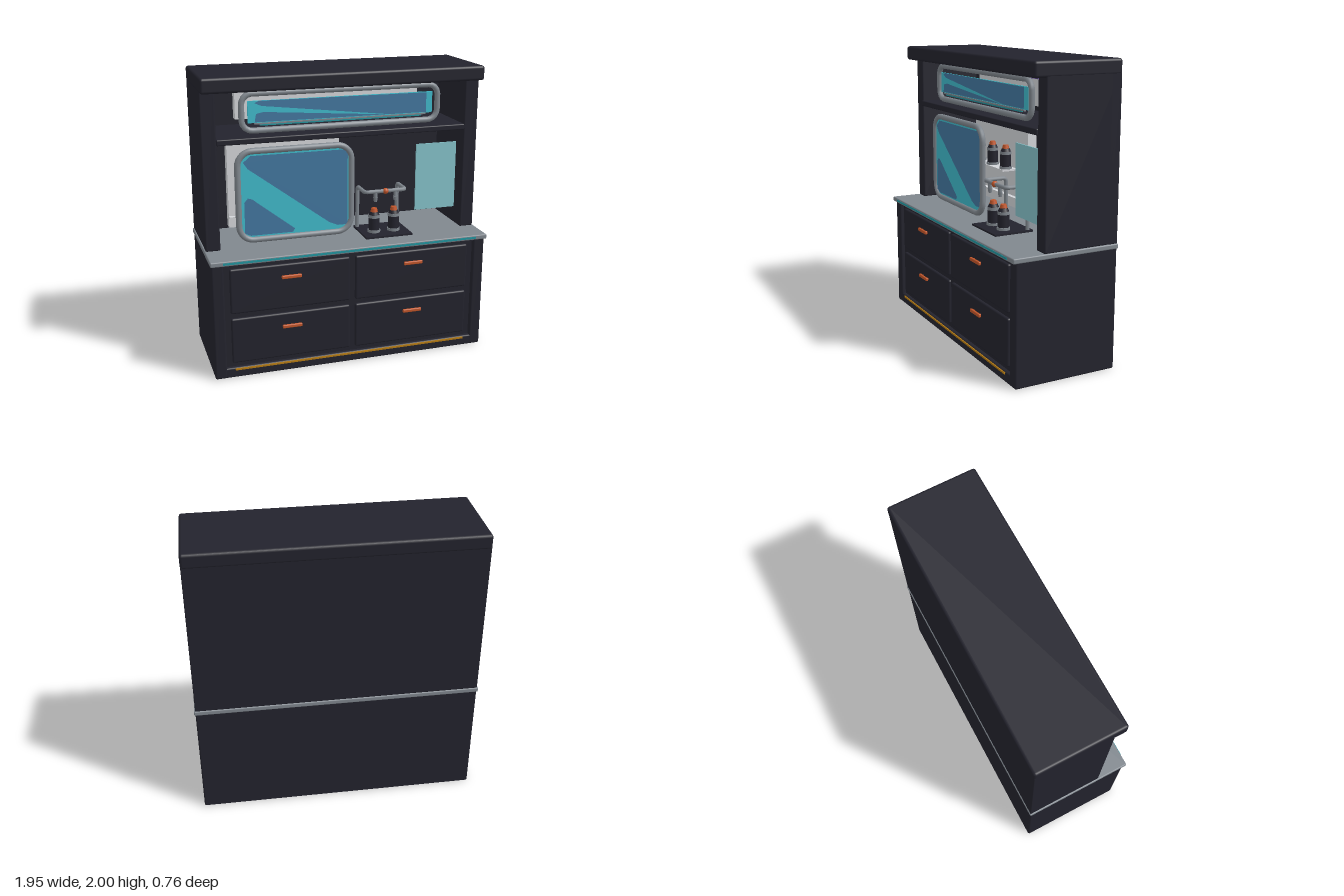
import * as THREE from 'three';
import { RoundedBoxGeometry } from 'three/addons/geometries/RoundedBoxGeometry.js';

const mat = (name, color, side = THREE.FrontSide) => {
  const m = new THREE.MeshStandardMaterial({ color, side });
  m.name = name;
  return m;
};

export function createModel() {
  const root = new THREE.Group();
  root.name = 'kitchenCabinet';
  const M = {
    body: mat('darkBody', 0x23232d),
    metal: mat('greyMetal', 0x80878e),
    white: mat('whitePanel', 0xd4d6da),
    teal: mat('tealGlass', 0x40bacb, THREE.DoubleSide),
    blue: mat('blueReflection', 0x4377a0, THREE.DoubleSide),
    pale: mat('paleTealPanel', 0x86c3ca),
    orange: mat('orangeTrim', 0xc2562a),
    amber: mat('amberStrip', 0xb47a14),
    purple: mat('purpleLight', 0x7a62b8),
    strip: mat('deepTealStrip', 0x22959f),
  };

  const add = (name, geo, material, parent = root) => {
    const m = new THREE.Mesh(geo, material);
    m.name = name;
    parent.add(m);
    return m;
  };
  // Box from its minimum and maximum corners; r > 0 rounds the edges
  const box = (name, material, [x0, x1], [y0, y1], [z0, z1], r = 0, parent = root) => {
    const s = [x1 - x0, y1 - y0, z1 - z0];
    const geo = r ? new RoundedBoxGeometry(...s, 2, r) : new THREE.BoxGeometry(...s);
    geo.translate((x0 + x1) / 2, (y0 + y1) / 2, (z0 + z1) / 2);
    return add(name, geo, material, parent);
  };
  const cyl = (name, material, rTop, rBottom, h, x, y, z, parent = root) => {
    const m = add(name, new THREE.CylinderGeometry(rTop, rBottom, h, 16), material, parent);
    m.position.set(x, y + h / 2, z);
    return m;
  };
  const roundedRect = ([x0, x1], [y0, y1], r) => {
    const s = new THREE.Shape();
    s.moveTo(x0 + r, y0);
    s.lineTo(x1 - r, y0);
    s.absarc(x1 - r, y0 + r, r, -Math.PI / 2, 0);
    s.lineTo(x1, y1 - r);
    s.absarc(x1 - r, y1 - r, r, 0, Math.PI / 2);
    s.lineTo(x0 + r, y1);
    s.absarc(x0 + r, y1 - r, r, Math.PI / 2, Math.PI);
    s.lineTo(x0, y0 + r);
    s.absarc(x0 + r, y0 + r, r, Math.PI, Math.PI * 1.5);
    return s;
  };
  // Closed tubular frame around a rounded rectangle
  const tubeFrame = (name, xs, ys, r, z, thick) => {
    const pts = roundedRect(xs, ys, r).getSpacedPoints(100).slice(0, -1);
    const curve = new THREE.CatmullRomCurve3(pts.map(p => new THREE.Vector3(p.x, p.y, z)), true);
    add(name, new THREE.TubeGeometry(curve, 120, thick, 10, true), M.metal);
  };
  const flat = (name, material, pts, z) => {
    const geo = new THREE.ShapeGeometry(new THREE.Shape(pts.map(p => new THREE.Vector2(...p))));
    geo.translate(0, 0, z);
    add(name, geo, material);
  };

  // Lower cabinet: core with a raised face frame
  box('baseCore', M.body, [-0.955, 0.955], [0.005, 0.81], [-0.375, 0.325]);
  for (const s of [-1, 1]) {
    const xs = s < 0 ? [-0.965, -0.885] : [0.885, 0.965];
    box('baseSide', M.body, xs, [0, 0.82], [-0.375, 0.355], 0.012);
  }
  box('baseBottomRail', M.body, [-0.9, 0.9], [0, 0.07], [-0.375, 0.353], 0.01);
  box('baseTopRail', M.body, [-0.9, 0.9], [0.79, 0.82], [-0.3, 0.345]);
  box('amberStrip', M.amber, [-0.83, 0.83], [0.053, 0.065], [0.352, 0.36]);

  // Drawers with bar handles
  for (const [x0, x1] of [[-0.845, -0.022], [0.018, 0.842]]) {
    for (const [y0, y1] of [[0.1, 0.42], [0.455, 0.77]]) {
      const d = new THREE.Group();
      d.name = 'drawer';
      root.add(d);
      box('drawerFront', M.body, [x0, x1], [y0, y1], [0.31, 0.345], 0.012, d);
      const cx = (x0 + x1) / 2, hy = y0 + 0.23;
      box('handleBar', M.orange, [cx - 0.068, cx + 0.068], [hy - 0.012, hy + 0.012], [0.352, 0.37], 0.006, d);
      for (const s of [-0.045, 0.045])
        box('handlePost', M.orange, [cx + s - 0.008, cx + s + 0.008], [hy - 0.006, hy + 0.006], [0.34, 0.36], 0, d);
    }
  }

  // Counter
  box('counter', M.metal, [-0.973, 0.973], [0.808, 0.842], [-0.38, 0.377], 0.008);
  box('counterStrip', M.strip, [-0.89, 0.89], [0.818, 0.832], [0.373, 0.38]);

  // Upper cabinet
  box('backPanel', M.body, [-0.965, 0.965], [0.84, 1.92], [-0.375, -0.3], 0.006);
  for (const s of [-1, 1]) {
    box('upperSide', M.body, s < 0 ? [-0.965, -0.865] : [0.865, 0.965], [0.84, 1.92], [-0.372, 0.158], 0.01);
  }
  box('topSlab', M.body, [-0.967, 0.967], [1.9, 2], [-0.378, 0.24], 0.018);
  box('shelf', M.body, [-0.867, 0.867], [1.552, 1.592], [-0.3, 0.168], 0.008);

  // Upper window: white back, lights, glass and frame
  box('upperBackplate', M.white, [-0.667, 0.667], [1.637, 1.85], [-0.3, -0.23]);
  box('purpleLight', M.purple, [-0.59, 0.59], [1.822, 1.838], [-0.23, -0.21], 0.006);
  box('lowerLight', M.strip, [-0.565, 0.565], [1.655, 1.664], [0.09, 0.1]);
  box('lightRail', M.metal, [-0.6, 0.6], [1.664, 1.674], [0.085, 0.1]);
  box('upperGlass', M.teal, [-0.645, 0.645], [1.675, 1.82], [0.09, 0.1]);
  flat('upperReflection', M.blue, [[-0.57, 1.82], [0.6, 1.815], [0.6, 1.68], [0.33, 1.68], [-0.55, 1.785], [-0.6, 1.805]], 0.103);
  flat('upperReflectionLow', M.blue, [[-0.6, 1.68], [0.31, 1.68], [-0.54, 1.745], [-0.59, 1.735]], 0.103);
  tubeFrame('upperFrame', [-0.685, 0.685], [1.625, 1.868], 0.07, 0.095, 0.02);

  // Large window in front of a white rear plate
  box('rearPlate', M.white, [-0.735, 0.077], [0.865, 1.51], [-0.3, -0.23]);
  box('rearLedge', M.white, [-0.735, 0.077], [0.935, 0.95], [-0.24, -0.2]);
  const glass = new THREE.ExtrudeGeometry(roundedRect([-0.715, 0.045], [0.895, 1.478], 0.09), { depth: 0.009, bevelEnabled: false, curveSegments: 8 });
  glass.translate(0, 0, 0.11);
  add('largeGlass', glass, M.teal);
  flat('largeReflection', M.blue, [[-0.64, 1.462], [0.03, 1.462], [0.03, 0.93], [-0.04, 0.93], [-0.1, 0.955], [-0.66, 1.375], [-0.69, 1.42]], 0.122);
  flat('largeReflectionLow', M.blue, [[-0.69, 0.93], [-0.65, 0.912], [-0.36, 0.912], [-0.345, 0.935], [-0.635, 1.165], [-0.665, 1.175], [-0.69, 1.145]], 0.122);
  tubeFrame('largeFrame', [-0.728, 0.058], [0.882, 1.493], 0.1, 0.115, 0.021);

  // Pale wall panel
  box('palePanel', M.pale, [0.53, 0.83], [0.985, 1.46], [0.11, 0.12]);

  // Bottles: dark body, metal bands and orange cap
  const bottle = (x, y, z) => {
    const g = new THREE.Group();
    g.name = 'bottle';
    g.position.set(x, y, z);
    root.add(g);
    cyl('bottleFoot', M.metal, 0.045, 0.045, 0.018, 0, 0, 0, g);
    cyl('bottleBody', M.body, 0.039, 0.039, 0.087, 0, 0.018, 0, g);
    cyl('bottleBand', M.metal, 0.041, 0.041, 0.02, 0, 0.105, 0, g);
    cyl('bottleShoulder', M.body, 0.028, 0.038, 0.022, 0, 0.125, 0, g);
    cyl('bottleCap', M.orange, 0.02, 0.026, 0.025, 0, 0.147, 0, g);
  };
  for (const x of [-0.52, -0.32, -0.12]) bottle(x, 1.16, -0.16);
  box('bottleShelf', M.white, [-0.62, -0.07], [1.148, 1.16], [-0.23, -0.11]);

  // Dispenser: mat, bent pipe, valve and nozzles
  box('dispenserMat', M.body, [0.13, 0.47], [0.842, 0.855], [-0.05, 0.235]);
  for (const x of [0.225, 0.37]) {
    bottle(x, 0.855, 0.12);
    cyl('nozzle', M.metal, 0.013, 0.013, 0.045, x, 1.11, 0.145);
    cyl('nozzleTip', M.metal, 0.016, 0.011, 0.03, x, 1.08, 0.145);
  }
  const pipe = new THREE.CurvePath();
  const v = (x, y, z) => new THREE.Vector3(x, y, z);
  const corners = [v(0.148, 0.84, -0.02), v(0.148, 1.152, -0.02), v(0.148, 1.152, 0.145),
    v(0.446, 1.152, 0.145), v(0.446, 1.152, -0.02), v(0.446, 0.84, -0.02)];
  let from = corners[0];
  for (let i = 1; i < corners.length - 1; i++) {
    const c = corners[i];
    const a = c.clone().add(corners[i - 1].clone().sub(c).setLength(0.03));
    const b = c.clone().add(corners[i + 1].clone().sub(c).setLength(0.03));
    pipe.add(new THREE.LineCurve3(from, a));
    pipe.add(new THREE.QuadraticBezierCurve3(a, c, b));
    from = b;
  }
  pipe.add(new THREE.LineCurve3(from, corners[5]));
  add('dispenserPipe', new THREE.TubeGeometry(pipe, 120, 0.014, 10), M.metal);
  const valve = add('valve', new THREE.SphereGeometry(0.021, 16, 10), M.orange);
  valve.position.set(0.297, 1.152, 0.148);

  return root;
}
